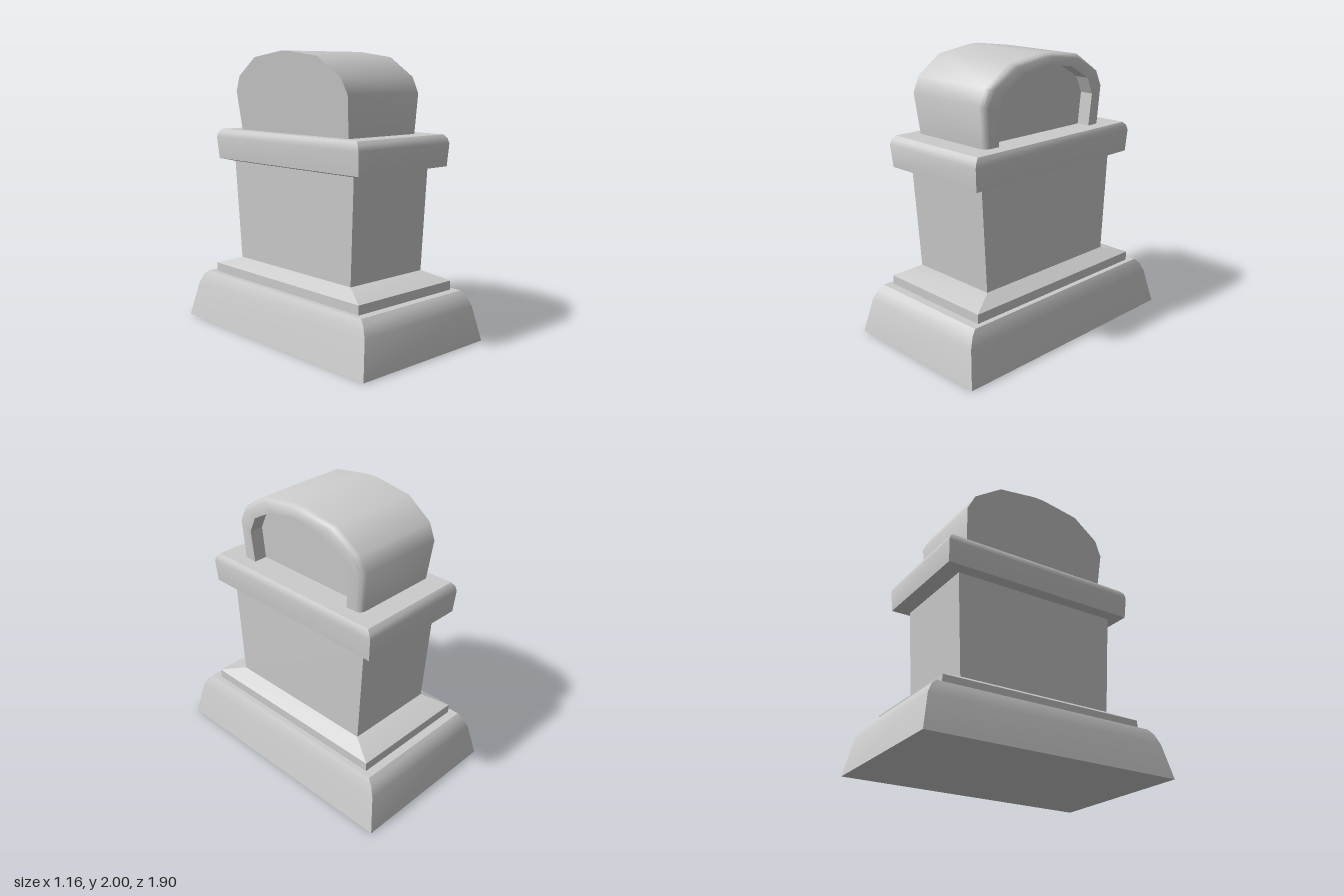
import * as THREE from 'three';
import { toCreasedNormals } from 'three/addons/utils/BufferGeometryUtils.js';

const material = new THREE.MeshStandardMaterial({ color: 0xcccccc });

// Skins a series of equal-length loops; caps are fans over convex ends.
function loft(name, loops, { capStart = true, capEnd = true, crease = 0.5 } = {}) {
  const pos = [];
  const tri = (a, b, c) => pos.push(...a, ...b, ...c);
  const n = loops[0].length;
  for (let k = 0; k < loops.length - 1; k++) {
    const a = loops[k], b = loops[k + 1];
    for (let i = 0; i < n; i++) {
      const j = (i + 1) % n;
      tri(a[i], a[j], b[j]);
      tri(a[i], b[j], b[i]);
    }
  }
  const first = loops[0], last = loops[loops.length - 1];
  for (let i = 1; i < n - 1; i++) {
    if (capStart) tri(first[0], first[i + 1], first[i]);
    if (capEnd) tri(last[0], last[i], last[i + 1]);
  }
  const geometry = new THREE.BufferGeometry();
  geometry.setAttribute('position', new THREE.Float32BufferAttribute(pos, 3));
  const mesh = new THREE.Mesh(toCreasedNormals(geometry, crease), material);
  mesh.name = name;
  return mesh;
}

// Rectangular cross-section at height y.
const rect = ([y, x0, x1, z]) => [[x0, y, z], [x1, y, z], [x1, y, -z], [x0, y, -z]];
const tier = (name, sections) => loft(name, sections.map(rect));

// Half profiles of the arch as [z, y], mirrored to full ones.
const mirror = (half) => [...half.map(([z, y]) => [-z, y]), ...half.slice().reverse()];
const outer = mirror([[0.56, 1.42], [0.585, 1.72], [0.53, 1.83], [0.33, 1.96], [0.04, 2]]);
const inner = mirror([[0.44, 1.42], [0.46, 1.67], [0.40, 1.79], [0.22, 1.89], [0.03, 1.92]]);

// Arch section between outer (t = 0) and inner (t = 1), leaning in x with height.
const archLoop = (x, lean, t) => outer.map(([z, y], i) => {
  const pz = THREE.MathUtils.lerp(z, inner[i][0], t);
  const py = THREE.MathUtils.lerp(y, inner[i][1], t);
  return [x + lean * (py - 1.44) / 0.56, py, pz];
});

export function createModel() {
  const model = new THREE.Group();

  // Flared foot with a rounded shoulder
  model.add(tier('base', [
    [0, -0.58, 0.58, 0.95], [0.25, -0.525, 0.525, 0.902],
    [0.32, -0.503, 0.503, 0.868], [0.355, -0.485, 0.485, 0.83],
  ]));

  // Stepped moulding with a sloped top
  model.add(tier('plinth', [
    [0.34, -0.447, 0.447, 0.77], [0.42, -0.447, 0.447, 0.77], [0.48, -0.342, 0.342, 0.588],
  ]));

  // Pillar, widening upwards
  model.add(tier('pillar', [[0.47, -0.342, 0.34, 0.587], [1.22, -0.36, 0.345, 0.631]]));

  // Overhanging slab
  model.add(tier('slab', [
    [1.205, -0.36, 0.345, 0.631], [1.222, -0.425, 0.417, 0.74],
    [1.38, -0.438, 0.426, 0.752], [1.415, -0.433, 0.42, 0.74], [1.44, -0.415, 0.405, 0.715],
  ]));

  // Arched head with a rounded rim on its +x side
  const arch = new THREE.Group();
  arch.name = 'arch';
  arch.add(loft('archShell', [
    archLoop(-0.34, -0.063, 0), archLoop(0.275, 0.005, 0), archLoop(0.298, 0.015, 0.12),
    archLoop(0.308, 0.024, 0.35), archLoop(0.31, 0.025, 1),
  ], { capEnd: false, crease: 0.8 }));

  // Recess inside the rim
  arch.add(loft('archRecess', [archLoop(0.31, 0.025, 1), archLoop(0.21, 0.02, 1)],
    { capStart: false, crease: 0.1 }));
  model.add(arch);

  return model;
}
